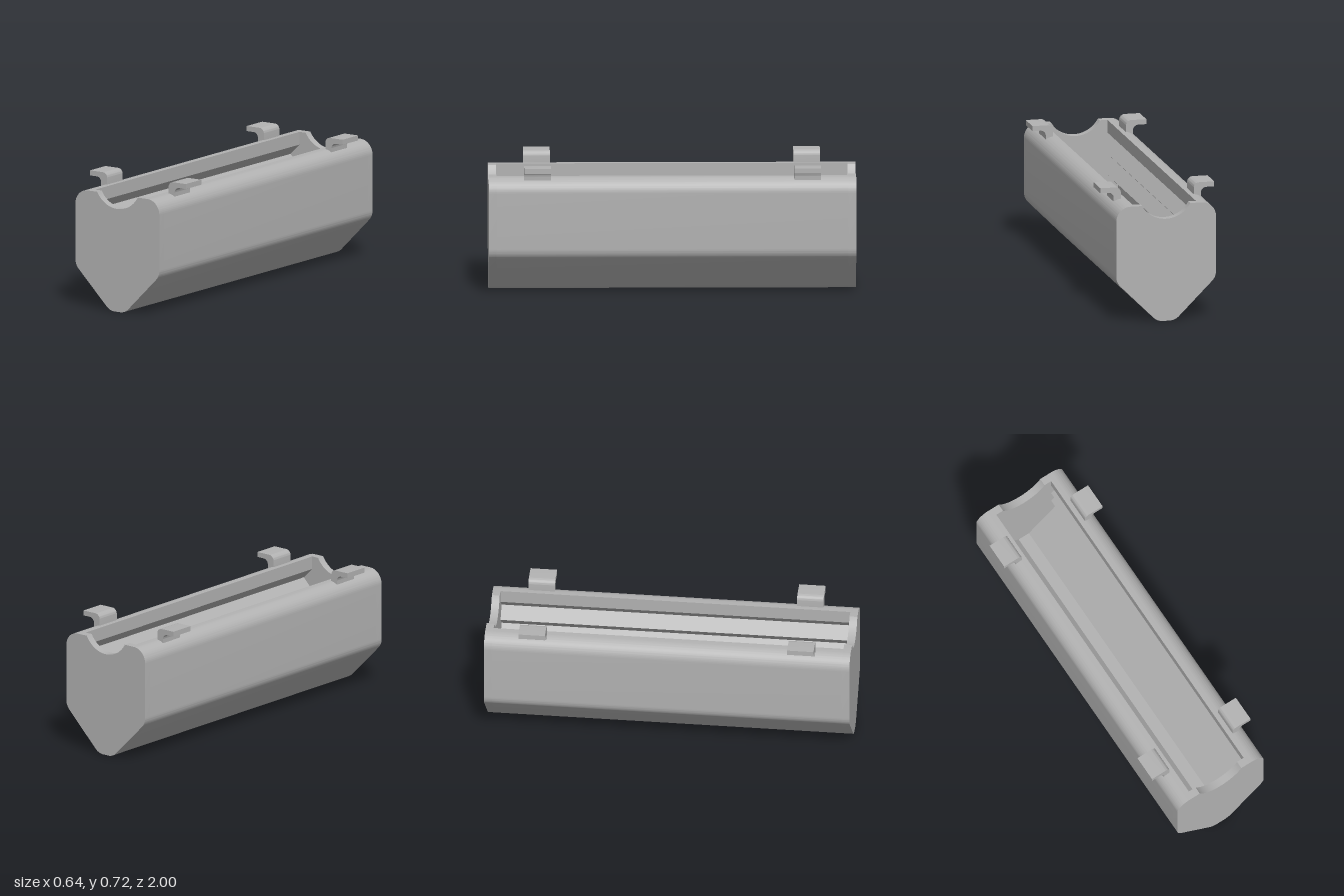
import * as THREE from 'three';
import { toCreasedNormals } from 'three/addons/utils/BufferGeometryUtils.js';

const HALF_LENGTH = 1;
const END_WALL = 0.043;

// Prism of a shape in the xy plane, running from z0 to z1, with smooth rounds and sharp edges
function prism(shape, z0, z1) {
  const geo = new THREE.ExtrudeGeometry(shape, {
    depth: z1 - z0, bevelEnabled: false, curveSegments: 14,
  });
  geo.translate(0, 0, z0);
  return toCreasedNormals(geo, 0.45);
}

// Outer hull: from the top left, down around the rounded keel and up to the top right
function hullOutline(startX) {
  const s = new THREE.Shape();
  s.moveTo(-startX, 0.651);
  s.lineTo(-0.2, 0.651);
  s.absarc(-0.2, 0.571, 0.08, Math.PI / 2, Math.PI, false);
  s.lineTo(-0.28, 0.263);
  s.quadraticCurveTo(-0.28, 0.23, -0.257, 0.207);
  s.lineTo(-0.073, 0.023);
  s.quadraticCurveTo(-0.05, 0, -0.017, 0);
  s.lineTo(0.017, 0);
  s.quadraticCurveTo(0.05, 0, 0.073, 0.023);
  s.lineTo(0.257, 0.207);
  s.quadraticCurveTo(0.28, 0.23, 0.28, 0.263);
  s.lineTo(0.28, 0.571);
  s.absarc(0.2, 0.571, 0.08, 0, Math.PI / 2, false);
  s.lineTo(startX, 0.651);
  return s;
}

// Hollow section: lip, two pointed ribs on each wall and a V-shaped floor
function troughShape() {
  const s = hullOutline(0.178);
  const inner = [
    [0.178, 0.58], [0.237, 0.522], [0.178, 0.461], [0.237, 0.402],
    [0.178, 0.342], [0.237, 0.283], [0.237, 0.244], [0.033, 0.04],
  ];
  for (const [x, y] of inner) s.lineTo(x, y);
  for (const [x, y] of [...inner].reverse()) s.lineTo(-x, y);
  s.closePath();
  return s;
}

// Solid end with a round scoop in the top edge
function endShape() {
  const s = hullOutline(0.135);
  const cy = 0.727, r = 0.1555;
  const a = Math.asin((cy - 0.651) / r);
  s.absarc(0, cy, r, -a, -Math.PI + a, true);
  s.closePath();
  return s;
}

// Hanging hook: short leg with an arm bent outwards
function hookShape() {
  const s = new THREE.Shape();
  s.moveTo(0.205, 0.628);
  s.lineTo(0.245, 0.628);
  s.lineTo(0.245, 0.658);
  s.absarc(0.275, 0.658, 0.03, Math.PI, Math.PI / 2, true);
  s.lineTo(0.32, 0.688);
  s.lineTo(0.32, 0.716);
  s.lineTo(0.235, 0.716);
  s.absarc(0.235, 0.686, 0.03, Math.PI / 2, Math.PI, false);
  s.closePath();
  return s;
}

export function createModel() {
  const model = new THREE.Group();
  model.name = 'hangingTrough';
  const grey = new THREE.MeshStandardMaterial({ color: 0xb2b2b2 });
  grey.name = 'plainGrey';

  const add = (name, geo) => {
    const mesh = new THREE.Mesh(geo, grey);
    mesh.name = name;
    model.add(mesh);
    return mesh;
  };

  const inside = HALF_LENGTH - END_WALL;
  add('troughBody', prism(troughShape(), -inside, inside));
  add('frontEnd', prism(endShape(), inside, HALF_LENGTH));
  add('backEnd', prism(endShape(), -HALF_LENGTH, -inside));

  // Four hooks, a pair near each end
  const hook = prism(hookShape(), -0.0725, 0.0725);
  for (const z of [0.735, -0.735]) {
    for (const side of [1, -1]) {
      const name = (z > 0 ? 'front' : 'back') + (side > 0 ? 'Left' : 'Right') + 'Hook';
      const mesh = add(name, hook);
      mesh.position.z = z;
      if (side < 0) mesh.rotation.y = Math.PI;
    }
  }
  return model;
}
